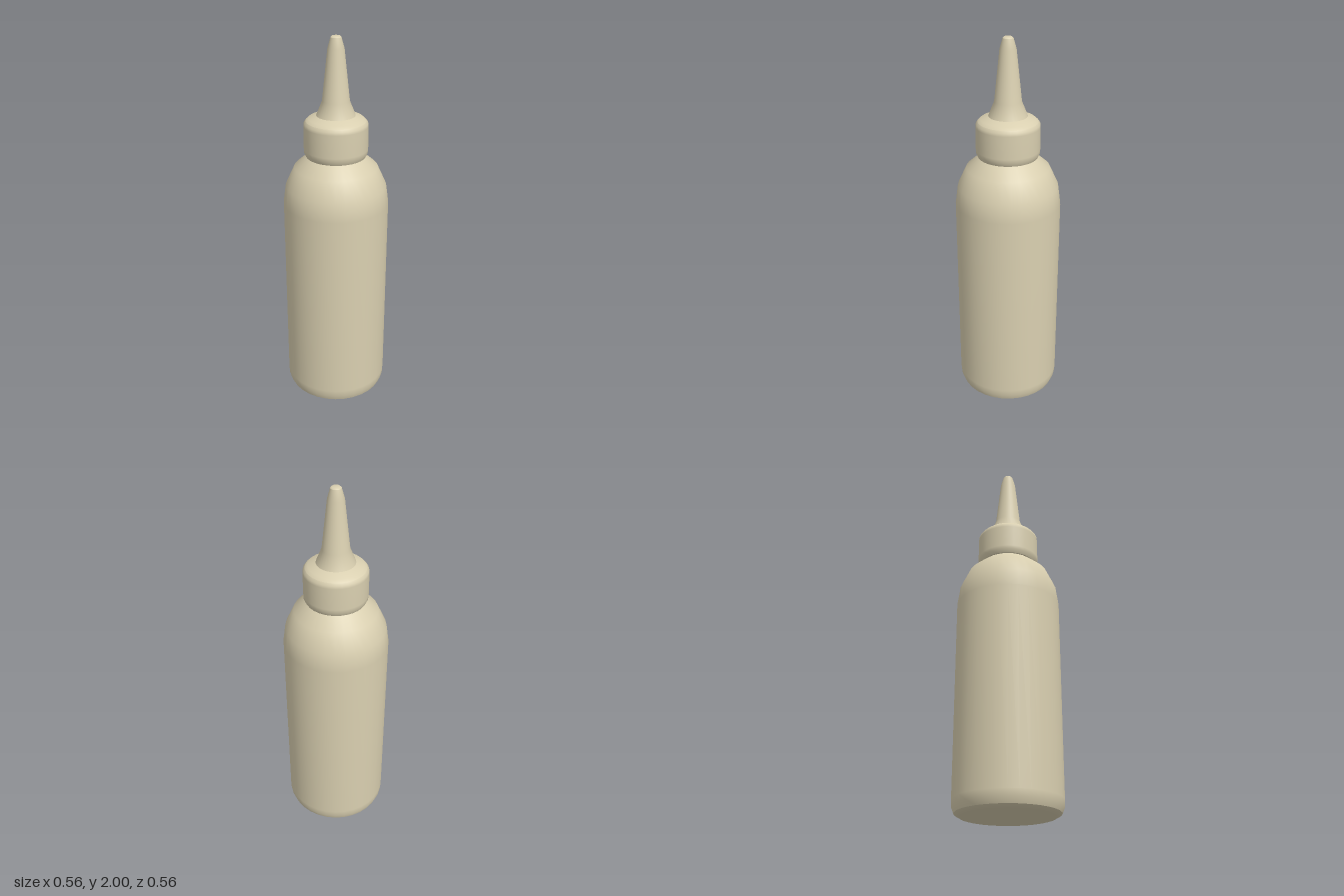
import * as THREE from 'three';

const SEGMENTS = 32;

export function createModel() {
  const group = new THREE.Group();
  group.name = 'nozzleBottle';

  const plastic = new THREE.MeshStandardMaterial({ color: 0xd9cfb0 });
  plastic.name = 'cream plastic';

  // Each smooth section is its own lathe, so edges between sections stay sharp.
  // Profiles are [radius, height] pairs running up the outside.
  function turned(name, profile, parent) {
    const points = profile.map(([r, y]) => new THREE.Vector2(r, y));
    const mesh = new THREE.Mesh(new THREE.LatheGeometry(points, SEGMENTS), plastic);
    mesh.name = name;
    parent.add(mesh);
  }

  function part(name, sections) {
    const g = new THREE.Group();
    g.name = name;
    for (const [section, profile] of Object.entries(sections)) turned(section, profile, g);
    group.add(g);
  }

  // Bottle with slightly rounded foot and domed shoulder
  part('bottle', {
    base: [[0, 0], [0.24, 0], [0.264, 0.014]],
    wall: [[0.264, 0.014], [0.276, 0.045], [0.278, 0.08], [0.278, 1.13],
      [0.264, 1.23], [0.218, 1.33], [0.145, 1.393]],
    neck: [[0.145, 1.393], [0.135, 1.42]],
  });

  // Screw cap with bevelled rims
  part('cap', {
    capUnderside: [[0.13, 1.39], [0.155, 1.39]],
    capWall: [[0.155, 1.39], [0.165, 1.41], [0.166, 1.43], [0.166, 1.55], [0.164, 1.565], [0.155, 1.577]],
    capTop: [[0.155, 1.577], [0.14, 1.59], [0.1, 1.605]],
  });

  // Tapered nozzle with a flat tip
  part('nozzle', {
    nozzleCone: [[0.1, 1.605], [0.07, 1.68], [0.042, 1.94], [0.027, 1.993]],
    nozzleTip: [[0.027, 1.993], [0.02, 2], [0, 2]],
  });

  return group;
}
